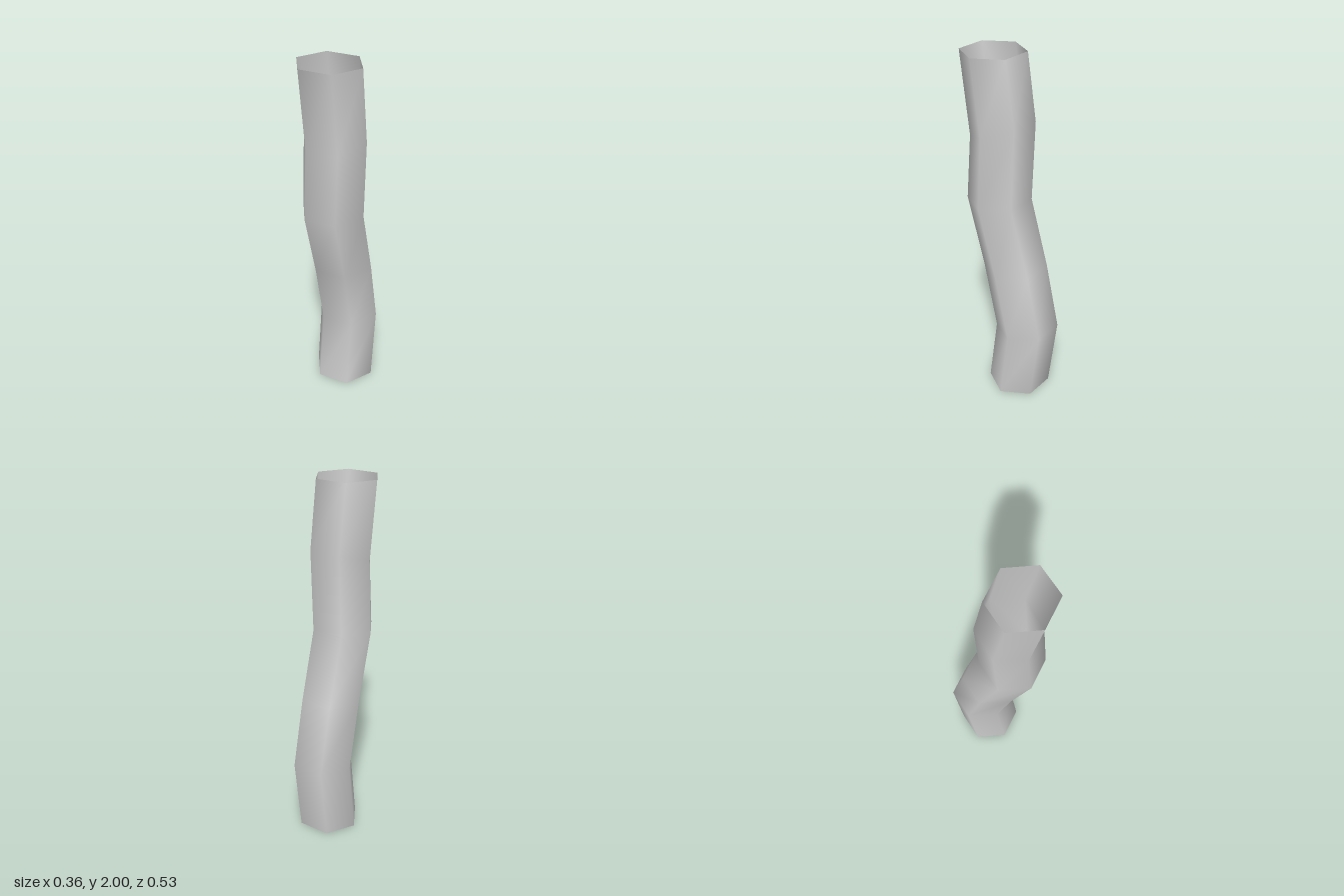
import * as THREE from 'three';

// Each ring: front edge z, y and back edge z, y, from bottom to top
const RINGS = [
  [0.095, 0, -0.21, 0],
  [0.04, 0.40, -0.265, 0.43],
  [0.127, 0.785, -0.18, 0.80],
  [0.24, 1.175, -0.066, 1.187],
  [0.21, 1.55, -0.085, 1.64],
  [0.27, 2, -0.03, 2],
];
const SIDES = 6;
const RADIUS = 0.18;

// Open six-sided tube lofted through the tilted rings
function bentTube() {
  const positions = [];
  const index = [];
  RINGS.forEach(([fz, fy, bz, by], r) => {
    for (let s = 0; s < SIDES; s++) {
      const a = (s / SIDES) * Math.PI * 2;
      const t = 0.5 + 0.5 * Math.sin(a) / Math.sin(Math.PI / 3); // 0 = back, 1 = front
      positions.push(
        RADIUS * Math.cos(a),
        THREE.MathUtils.lerp(by, fy, t),
        THREE.MathUtils.lerp(bz, fz, t),
      );
      if (r < RINGS.length - 1) {
        const i = r * SIDES + s;
        const j = r * SIDES + (s + 1) % SIDES;
        index.push(i, i + SIDES, j, j, i + SIDES, j + SIDES);
      }
    }
  });
  const geometry = new THREE.BufferGeometry();
  geometry.setAttribute('position', new THREE.Float32BufferAttribute(positions, 3));
  geometry.setIndex(index);
  geometry.computeVertexNormals(); // shared vertices give smooth shading
  return geometry;
}

export function createModel() {
  const group = new THREE.Group();
  group.name = 'bentPipe';
  const material = new THREE.MeshStandardMaterial({ color: 0xcccccc, side: THREE.DoubleSide });
  const tube = new THREE.Mesh(bentTube(), material);
  tube.name = 'tube';
  group.add(tube);
  return group;
}
